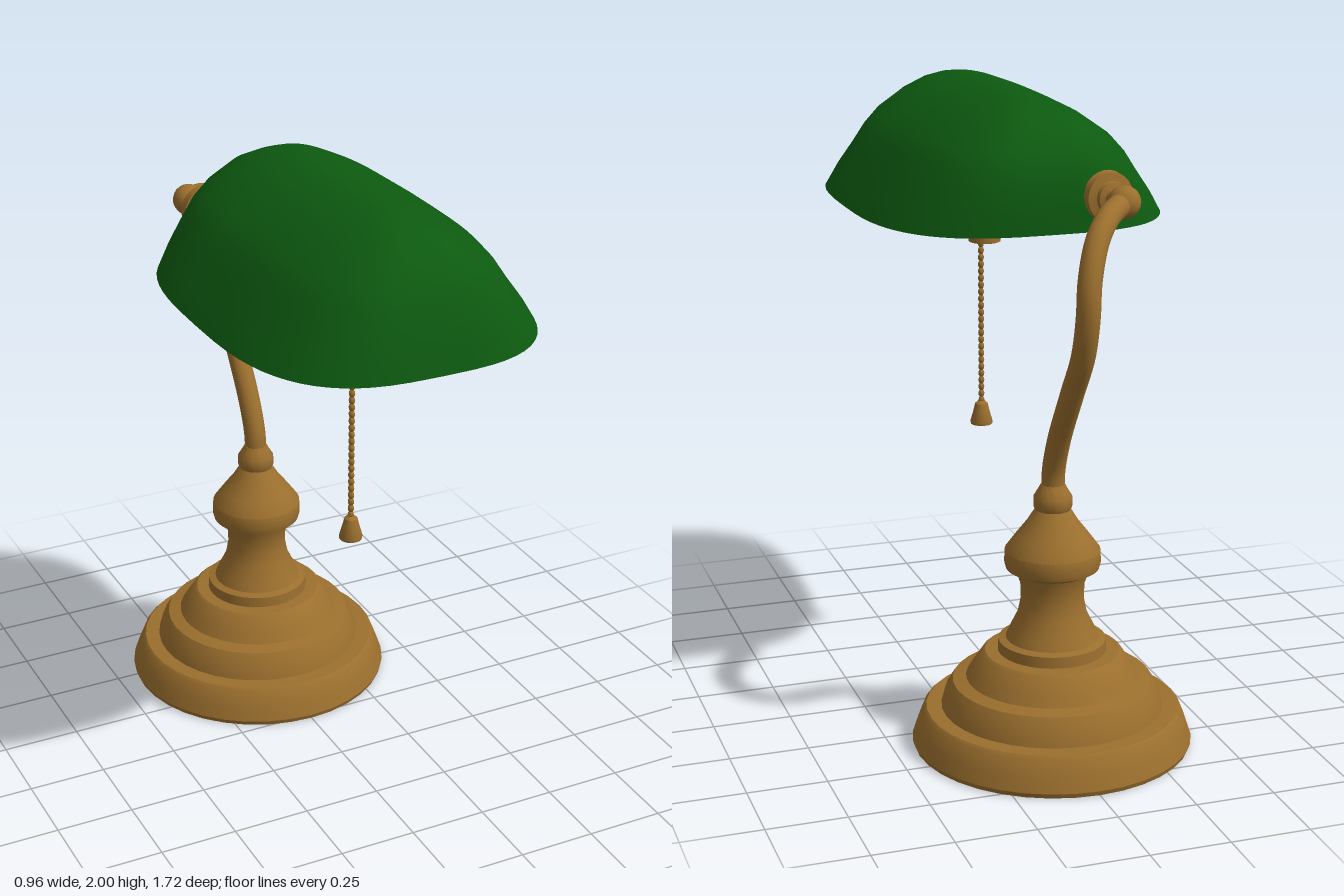
import * as THREE from 'three';
import { mergeVertices, toCreasedNormals } from 'three/addons/utils/BufferGeometryUtils.js';

const V = (x, y, z) => new THREE.Vector3(x, y, z);

// shade levels: height, half width, front z, back z
const LEVELS = [
  [1.625, 0.48, 0.86, -0.41], [1.69, 0.44, 0.846, -0.41], [1.76, 0.388, 0.825, -0.405],
  [1.82, 0.348, 0.802, -0.39], [1.87, 0.302, 0.775, -0.363], [1.93, 0.215, 0.725, -0.31],
  [1.965, 0.145, 0.67, -0.24], [1.985, 0.09, 0.6, -0.16], [1.997, 0.04, 0.5, -0.07], [2, 0, 0.38, 0],
];
const SIDES = 64;

// one rounded-rectangle ring, shrunk by t
function ring([y, w, zf, zb], t) {
  const pts = [], hx = Math.max(w - t, 0), hz = (zf - zb) / 2 - t, zc = (zf + zb) / 2;
  const bend = (v) => Math.sign(v) * Math.pow(Math.abs(v), 2 / 3);
  for (let i = 0; i < SIDES; i++) {
    const a = (i / SIDES) * Math.PI * 2;
    pts.push(V(hx * bend(Math.cos(a)), y, zc + hz * bend(Math.sin(a))));
  }
  return pts;
}

// skin a stack of rings; flip turns the faces inward
function skin(rings, flip) {
  const pos = [], idx = [];
  rings.forEach((r) => r.forEach((p) => pos.push(p.x, p.y, p.z)));
  for (let j = 0; j < rings.length - 1; j++) {
    for (let i = 0; i < SIDES; i++) {
      const a = j * SIDES + i, b = j * SIDES + ((i + 1) % SIDES), c = a + SIDES, d = b + SIDES;
      if (flip) idx.push(a, b, c, b, d, c);
      else idx.push(a, c, b, b, c, d);
    }
  }
  let g = new THREE.BufferGeometry();
  g.setAttribute('position', new THREE.Float32BufferAttribute(pos, 3));
  g.setIndex(idx);
  g = mergeVertices(g, 1e-4);
  g.computeVertexNormals();
  return g;
}

function lathe(points, sides = 36) {
  const g = new THREE.LatheGeometry(points.map(([r, y]) => new THREE.Vector2(r, y)), sides);
  return toCreasedNormals(g, 0.6);
}

export function createModel() {
  const brass = new THREE.MeshStandardMaterial({ name: 'brass', color: 0x9b6f2e });
  const green = new THREE.MeshStandardMaterial({ name: 'green glass', color: 0x0d5a10 });
  const white = new THREE.MeshStandardMaterial({ name: 'white lining', color: 0xe8e5e5 });

  const model = new THREE.Group();
  model.name = 'deskLamp';
  const add = (name, geo, mat, x = 0, y = 0, z = 0, parent = model) => {
    const m = new THREE.Mesh(geo, mat);
    m.name = name;
    m.position.set(x, y, z);
    parent.add(m);
    return m;
  };

  // stepped foot and turned column
  add('base', lathe([
    [0, 0.005], [0.435, 0.005], [0.44, 0.02], [0.425, 0.065], [0.405, 0.115], [0.395, 0.125],
    [0.348, 0.127], [0.335, 0.175], [0.312, 0.212], [0.27, 0.222], [0.25, 0.255],
    [0.22, 0.3], [0.21, 0.308], [0.17, 0.31], [0.168, 0.345], [0.145, 0.352],
    [0.135, 0.375], [0.108, 0.43], [0.098, 0.48], [0.1, 0.53], [0.112, 0.565],
    [0.145, 0.582], [0.15, 0.6], [0.148, 0.64], [0.115, 0.685], [0.08, 0.73],
    [0.055, 0.77], [0.06, 0.78], [0.06, 0.81], [0.045, 0.835], [0.037, 0.85], [0, 0.85],
  ]), brass, 0, 0, -0.415);

  // swan-neck arm
  const path = new THREE.CatmullRomCurve3([
    V(0, 0.8, -0.415), V(0, 0.89, -0.42), V(0, 1.0, -0.465), V(0, 1.18, -0.58),
    V(0, 1.32, -0.672), V(0, 1.44, -0.708), V(-0.008, 1.55, -0.7), V(-0.045, 1.65, -0.655),
    V(-0.1, 1.705, -0.595), V(-0.185, 1.73, -0.5),
  ]);
  add('arm', new THREE.TubeGeometry(path, 60, 0.036, 16), brass);

  // swivel joint holding the shade
  add('jointBall', new THREE.SphereGeometry(0.05, 20, 14), brass, -0.187, 1.73, -0.503);
  const mount = add('shadeMount', lathe([
    [0, -0.02], [0.03, -0.02], [0.03, 0.06], [0.048, 0.065], [0.05, 0.08],
    [0.075, 0.085], [0.078, 0.115], [0, 0.115],
  ], 24), brass, -0.187, 1.73, -0.503);
  mount.quaternion.setFromUnitVectors(V(0, 1, 0), V(0.12, 0, 1).normalize());

  // glass shade with rim and white lining
  const T = 0.014;
  const inner = LEVELS.map((l) => ring([l[0] === 1.625 ? l[0] : l[0] - T * (l[0] - 1.625) / 0.375, l[1], l[2], l[3]], T));
  const outer = LEVELS.map((l) => ring(l, 0));
  add('shade', skin(outer, false), green);
  add('shadeRim', skin([inner[0], outer[0]], false), green);
  add('shadeLining', skin(inner, true), white);

  // bulb socket
  add('socket', lathe([
    [0.04, 1.485], [0.045, 1.47], [0.052, 1.472], [0.052, 1.495], [0.062, 1.5],
    [0.076, 1.61], [0.086, 1.63], [0.088, 1.69], [0.08, 1.7], [0, 1.7],
  ], 24), brass, 0, 0, 0.26);
  const cap = add('socketInsert', new THREE.CircleGeometry(0.046, 24), white, 0, 1.48, 0.26);
  cap.rotation.x = Math.PI / 2;

  // pull chain
  const chain = new THREE.Group();
  chain.name = 'pullChain';
  chain.position.set(0, 0, 0.3);
  model.add(chain);
  const loop = add('chainLoop', new THREE.TorusGeometry(0.014, 0.005, 6, 14), brass, 0, 1.475, 0, chain);
  loop.rotation.y = Math.PI / 2;
  const bead = new THREE.SphereGeometry(0.0105, 8, 6).scale(1, 1.3, 1);
  for (let i = 0; i < 24; i++) add('chainBead', bead, brass, 0, 1.455 - i * 0.0232, 0, chain);
  add('chainCore', new THREE.CylinderGeometry(0.005, 0.005, 0.56, 6), brass, 0, 1.19, 0, chain);
  add('pullBell', lathe([
    [0, 0.84], [0.036, 0.84], [0.037, 0.85], [0.027, 0.885], [0.021, 0.91], [0.012, 0.918], [0, 0.92],
  ], 16), brass, 0, 0, 0, chain);

  return model;
}
